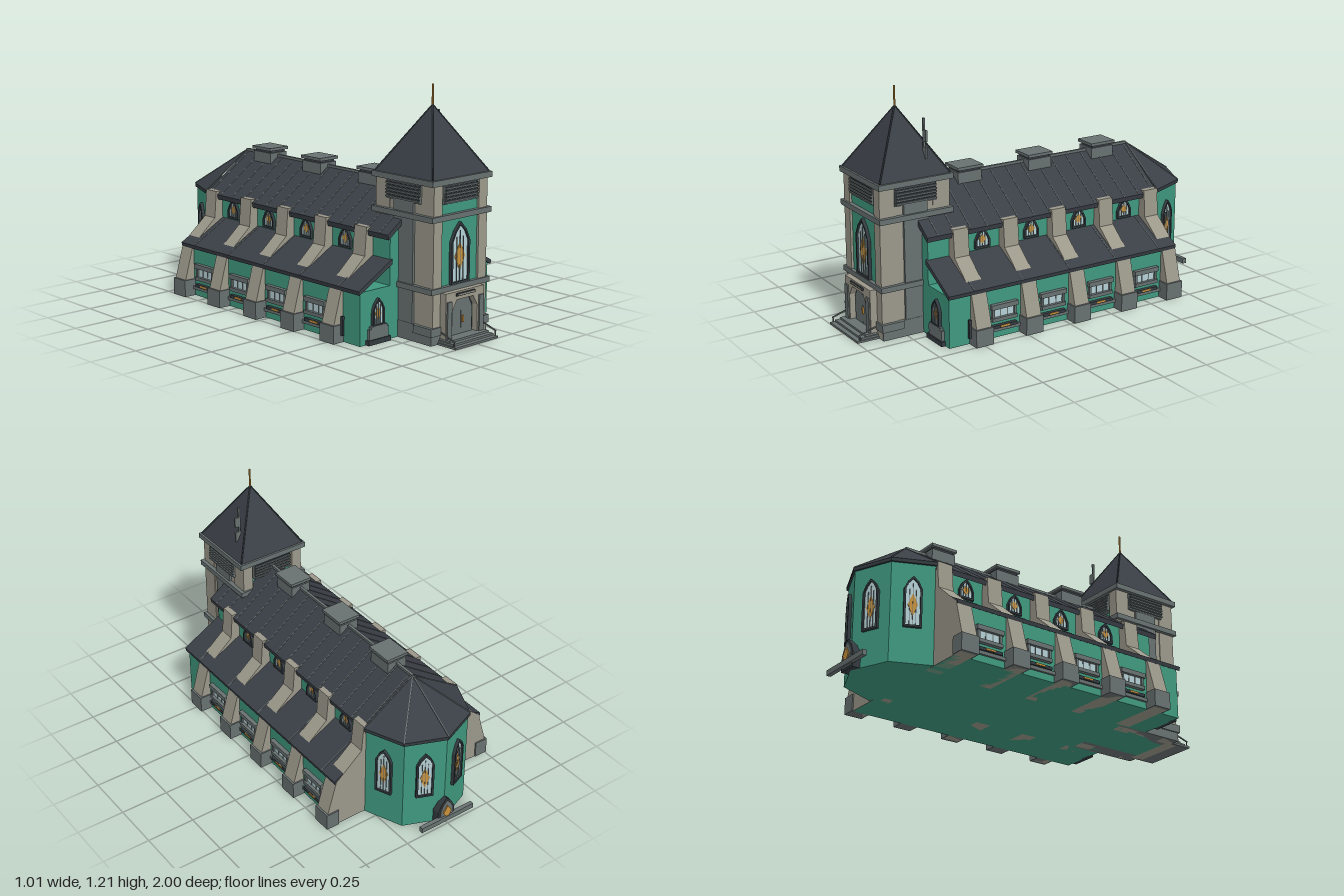
import * as THREE from 'three';

const mat = (name, color) => {
  const m = new THREE.MeshStandardMaterial({ color, flatShading: true });
  m.name = name;
  return m;
};

export function createModel() {
  const green = mat('green wall', 0x3f987e);
  const beige = mat('beige stone', 0x9b988a);
  const grey = mat('grey stone', 0x687070);
  const slate = mat('slate roof', 0x3a3f46);
  const dark = mat('dark frame', 0x333b40);
  const glass = mat('pale glass', 0xb4cfd4);
  const gold = mat('gold', 0xc8913c);
  const church = new THREE.Group();
  church.name = 'church';

  const add = (parent, name, geo, material) => {
    const m = new THREE.Mesh(geo, material);
    m.name = name;
    parent.add(m);
    return m;
  };
  const group = (name, parent = church) => {
    const g = new THREE.Group();
    g.name = name;
    parent.add(g);
    return g;
  };
  // box given by its ranges on x, y and z
  const box = (parent, name, material, x0, x1, y0, y1, z0, z1) => {
    const m = add(parent, name, new THREE.BoxGeometry(Math.abs(x1 - x0), y1 - y0, Math.abs(z1 - z0)), material);
    m.position.set((x0 + x1) / 2, (y0 + y1) / 2, (z0 + z1) / 2);
    return m;
  };
  const shapeOf = (pts) => new THREE.Shape(pts.map(([x, y]) => new THREE.Vector2(x, y)));
  // outline in x and y, extruded from z0 to z1
  const prism = (parent, name, material, pts, z0, z1, hole) => {
    const s = shapeOf(pts);
    if (hole) s.holes.push(shapeOf(hole));
    const geo = new THREE.ExtrudeGeometry(s, { depth: z1 - z0, bevelEnabled: false });
    return add(parent, name, geo.translate(0, 0, z0), material);
  };
  // thin square bar between two points
  const bar = (parent, name, material, a, b, t) => {
    const A = new THREE.Vector3(...a), B = new THREE.Vector3(...b);
    const m = add(parent, name, new THREE.BoxGeometry(t, t, A.distanceTo(B)), material);
    m.position.copy(A).add(B).multiplyScalar(0.5);
    m.lookAt(B);
    return m;
  };
  const lancet = (w, h, y = 0) => [[-w, y], [w, y], [w, h - 1.5 * w], [0.6 * w, h - 0.65 * w],
    [0, h], [-0.6 * w, h - 0.65 * w], [-w, h - 1.5 * w]];
  // pointed window facing +z, standing on its own origin
  const lancetWindow = (parent, w, h, f, x, y, z, turn = 0) => {
    const g = group('pointedWindow', parent);
    prism(g, 'windowFrame', dark, lancet(w, h), -0.005, 0.014, lancet(w - f, h - f * 1.3, f));
    prism(g, 'windowPane', glass, lancet(w - f, h - f * 1.3, f), 0, 0.005);
    const c = h * 0.44, dh = h * 0.23, dw = w * 0.55;
    prism(g, 'goldDiamond', gold, [[0, c - dh], [dw, c], [0, c + dh], [-dw, c]], 0.004, 0.008);
    for (const k of [-0.35, 0, 0.35])
      box(g, 'mullion', grey, k * w - 0.0012, k * w + 0.0012, f, h * (0.86 - Math.abs(k) * 0.3), 0.003, 0.0095);
    g.position.set(x, y, z);
    g.rotation.y = turn;
  };

  // nave and its roof
  const nave = group('nave');
  prism(nave, 'naveWalls', green, [[-0.245, 0], [0.245, 0], [0.245, 0.52], [0, 0.7], [-0.245, 0.52]], -0.69, 0.66);
  prism(nave, 'naveRoof', slate, [[0, 0.712], [0.28, 0.515], [0.275, 0.49], [0, 0.685], [-0.275, 0.49], [-0.28, 0.515]], -0.69, 0.68);
  box(nave, 'ridgeCap', grey, -0.007, 0.007, 0.705, 0.72, -0.69, 0.5);
  for (const z of [0.305, -0.11, -0.5]) {
    const v = group('ridgeVent', nave);
    box(v, 'ventBase', grey, -0.055, 0.055, 0.66, 0.73, z - 0.068, z + 0.068);
    box(v, 'ventNeck', slate, -0.048, 0.048, 0.73, 0.742, z - 0.06, z + 0.06);
    box(v, 'ventCap', grey, -0.062, 0.062, 0.742, 0.757, z - 0.073, z + 0.073);
  }

  // aisles, buttresses and side windows, mirrored
  const buttressZ = [0.5, 0.215, -0.07, -0.358, -0.645];
  const bayZ = [0.358, 0.073, -0.214, -0.5];
  for (const s of [1, -1]) {
    const aisle = group(s > 0 ? 'leftAisle' : 'rightAisle');
    const mir = (pts) => pts.map(([x, y]) => [s * x, y]);
    box(aisle, 'aisleWall', green, s * 0.24, s * 0.44, 0, 0.262, -0.685, 0.66);
    prism(aisle, 'aisleRoof', slate, mir([[0.24, 0.392], [0.458, 0.272], [0.453, 0.252], [0.24, 0.367]]), -0.685, 0.67);
    for (let i = 0; i < 15; i++) {
      const z = 0.62 - i * 0.092;
      bar(nave, 'roofSeam', grey, [0, 0.712, z], [s * 0.278, 0.516, z], 0.004);
      if (i % 3 === 1) bar(aisle, 'roofSeam', grey, [s * 0.245, 0.389, z], [s * 0.456, 0.273, z], 0.004);
    }
    for (const z of buttressZ) {
      const b = group('buttress', aisle);
      prism(b, 'buttressStone', beige, mir([[0.2, 0], [0.49, 0], [0.497, 0.09], [0.447, 0.265],
        [0.298, 0.392], [0.286, 0.532], [0.24, 0.532]]), z - 0.042, z + 0.042);
      box(b, 'buttressBase', grey, s * 0.435, s * 0.507, 0, 0.088, z - 0.049, z + 0.049);
    }
    for (const z of bayZ) {
      lancetWindow(aisle, 0.042, 0.105, 0.01, s * 0.247, 0.397, z, s * Math.PI / 2);
      const w = group('aisleWindow', aisle);
      box(w, 'windowPane', glass, s * 0.438, s * 0.446, 0.108, 0.152, z - 0.062, z + 0.062);
      box(w, 'lintel', grey, s * 0.435, s * 0.462, 0.152, 0.176, z - 0.075, z + 0.075);
      box(w, 'sill', grey, s * 0.435, s * 0.462, 0.09, 0.108, z - 0.07, z + 0.07);
      for (const k of [-1, 1]) {
        box(w, 'jamb', grey, s * 0.435, s * 0.455, 0.1, 0.16, z + k * 0.062 - 0.006, z + k * 0.062 + 0.006);
        box(w, 'mullion', grey, s * 0.44, s * 0.449, 0.108, 0.152, z + k * 0.02 - 0.002, z + k * 0.02 + 0.002);
      }
      box(w, 'wallBand', grey, s * 0.435, s * 0.452, 0.035, 0.052, z - 0.1, z + 0.1);
      box(w, 'planter', dark, s * 0.435, s * 0.46, 0.052, 0.068, z - 0.07, z + 0.07);
      box(w, 'planterPlate', gold, s * 0.455, s * 0.463, 0.057, 0.066, z - 0.026, z + 0.026);
    }
    // front window of the aisle with its stone ledge
    lancetWindow(aisle, 0.037, 0.135, 0.008, s * 0.33, 0.085, 0.662);
    box(aisle, 'ledge', grey, s * 0.268, s * 0.392, 0.02, 0.075, 0.65, 0.675);
    box(aisle, 'ledgeTop', grey, s * 0.278, s * 0.382, 0.075, 0.088, 0.65, 0.678);
    box(aisle, 'ledgeFoot', dark, s * 0.257, s * 0.402, 0, 0.024, 0.65, 0.682);
    box(aisle, 'wallLamp', dark, s * 0.449, s * 0.461, 0.035, 0.13, 0.55, 0.562);
  }

  // half octagonal apse
  const apse = group('apse');
  const H = Math.PI / 2;
  add(apse, 'apseWall', new THREE.CylinderGeometry(0.275, 0.275, 0.52, 4, 1, false, H, Math.PI), green).position.set(0, 0.26, -0.69);
  add(apse, 'apseEave', new THREE.CylinderGeometry(0.287, 0.287, 0.018, 4, 1, false, H, Math.PI), dark).position.set(0, 0.516, -0.688);
  add(apse, 'apseRoof', new THREE.ConeGeometry(0.287, 0.19, 4, 1, false, H, Math.PI), slate).position.set(0, 0.62, -0.688);
  for (let i = 0; i < 5; i++) {
    const a = H + i * Math.PI / 4;
    bar(apse, 'hipSeam', grey, [0, 0.714, -0.69], [0.286 * Math.sin(a), 0.527, -0.688 + 0.286 * Math.cos(a)], 0.005);
    if (i === 4) continue;
    const c = a + Math.PI / 8;
    lancetWindow(apse, 0.044, 0.26, 0.01, 0.256 * Math.sin(c), 0.178, -0.69 + 0.256 * Math.cos(c), c);
  }
  const backDoor = group('backDoor', apse);
  prism(backDoor, 'doorFrame', dark, lancet(0.05, 0.152), -0.985, -0.93);
  prism(backDoor, 'doorLeaf', grey, lancet(0.038, 0.138, 0.01), -0.99, -0.98);
  prism(backDoor, 'doorDiamond', gold, [[0, 0.03], [0.025, 0.07], [0, 0.11], [-0.025, 0.07]], -0.996, -0.988);
  box(backDoor, 'doorStep', grey, -0.16, 0.16, 0.018, 0.045, -1, -0.978);

  // tower
  const tower = group('tower');
  const Z = 0.69;
  box(tower, 'towerCore', green, -0.165, 0.165, 0, 0.77, Z - 0.165, Z + 0.18);
  for (const s of [1, -1]) {
    for (const k of [1, -1]) {
      box(tower, 'cornerPier', beige, s * 0.125, s * 0.182, 0, 0.77, Z + k * 0.1, Z + k * 0.192);
      box(tower, 'pierFoot', grey, s * 0.132, s * 0.2, 0.045, 0.085, Z + k * 0.08, Z + k * 0.2);
    }
    box(tower, 'sideWall', beige, s * 0.1, s * 0.178, 0, 0.77, Z - 0.12, Z + 0.12);
    box(tower, 'sidePanel', grey, s * 0.15, s * 0.19, 0, 0.68, Z - 0.065, Z + 0.065);
    box(tower, 'sidePlinth', grey, s * 0.1, s * 0.192, 0, 0.085, Z - 0.19, Z + 0.192);
  }
  for (const [name, y0, y1, r] of [['lowerBand', 0.248, 0.275, 0.2], ['middleBand', 0.592, 0.619, 0.202], ['cornice', 0.762, 0.79, 0.203]])
    box(tower, name, grey, -r, r, y0, y1, Z - r, Z + r);
  // louvres on all four sides
  for (let i = 0; i < 4; i++) {
    const l = group('louvre', tower);
    box(l, 'louvrePanel', grey, -0.112, 0.112, 0.668, 0.756, 0.16, 0.192);
    for (let j = 0; j < 5; j++) {
      box(l, 'slat', grey, -0.11, 0.11, 0.676 + j * 0.016, 0.684 + j * 0.016, 0.19, 0.202);
      box(l, 'slatGap', dark, -0.11, 0.11, 0.684 + j * 0.016, 0.688 + j * 0.016, 0.19, 0.195);
    }
    l.position.z = Z;
    l.rotation.y = i * H;
  }
  const spire = add(tower, 'towerRoof', new THREE.ConeGeometry(0.192 * Math.SQRT2, 0.32, 4), slate);
  spire.position.set(0, 0.95, Z);
  spire.rotation.y = Math.PI / 4;
  for (const s of [1, -1]) for (const k of [1, -1])
    bar(tower, 'hipSeam', dark, [0, 1.108, Z], [s * 0.192, 0.792, Z + k * 0.192], 0.006);
  add(tower, 'finial', new THREE.CylinderGeometry(0.005, 0.005, 0.11, 8), gold).position.set(0, 1.15, Z);
  box(tower, 'mast', grey, 0.124, 0.135, 0.86, 1.062, 0.6, 0.61);
  box(tower, 'mastBox', grey, 0.135, 0.156, 0.95, 1.005, 0.6, 0.61);
  box(tower, 'mastBracket', grey, 0.13, 0.155, 0.865, 0.92, 0.6, 0.61);
  lancetWindow(tower, 0.063, 0.298, 0.011, 0, 0.275, 0.873);

  // porch with double doors
  const porch = group('porch');
  const arch = (w, h, c) => [[-w, 0.028], [w, 0.028], [w, h - c], [w - c * 0.6, h], [-w + c * 0.6, h], [-w, h - c]];
  prism(porch, 'porchWall', beige, [[-0.132, 0], [0.132, 0], [0.132, 0.25], [-0.132, 0.25]], 0.85, 0.918, arch(0.086, 0.21, 0.05));
  prism(porch, 'doorFrame', dark, arch(0.088, 0.212, 0.05), 0.85, 0.885);
  for (const s of [1, -1]) {
    prism(porch, 'doorLeaf', grey, [[s * 0.001, 0.03], [s * 0.077, 0.03], [s * 0.077, 0.155], [s * 0.05, 0.205], [s * 0.001, 0.205]], 0.88, 0.892);
    box(porch, 'pilaster', grey, s * 0.095, s * 0.125, 0.03, 0.208, 0.91, 0.925);
    bar(porch, 'handrail', grey, [s * 0.142, 0.062, 0.9], [s * 0.142, 0.034, 0.99], 0.006);
    bar(porch, 'railPost', grey, [s * 0.142, 0, 0.985], [s * 0.142, 0.036, 0.985001], 0.005);
  }
  box(porch, 'doorHandle', gold, 0.004, 0.013, 0.085, 0.118, 0.89, 0.9);
  box(porch, 'nameBoard', dark, -0.063, 0.063, 0.228, 0.242, 0.915, 0.925);
  box(porch, 'boardFace', beige, -0.058, 0.058, 0.232, 0.238, 0.92, 0.928);
  for (let i = 0; i < 3; i++)
    box(porch, 'step', grey, -0.148 + i * 0.007, 0.148 - i * 0.007, i * 0.01, (i + 1) * 0.01, 0.86, 1 - i * 0.025);
  return church;
}
